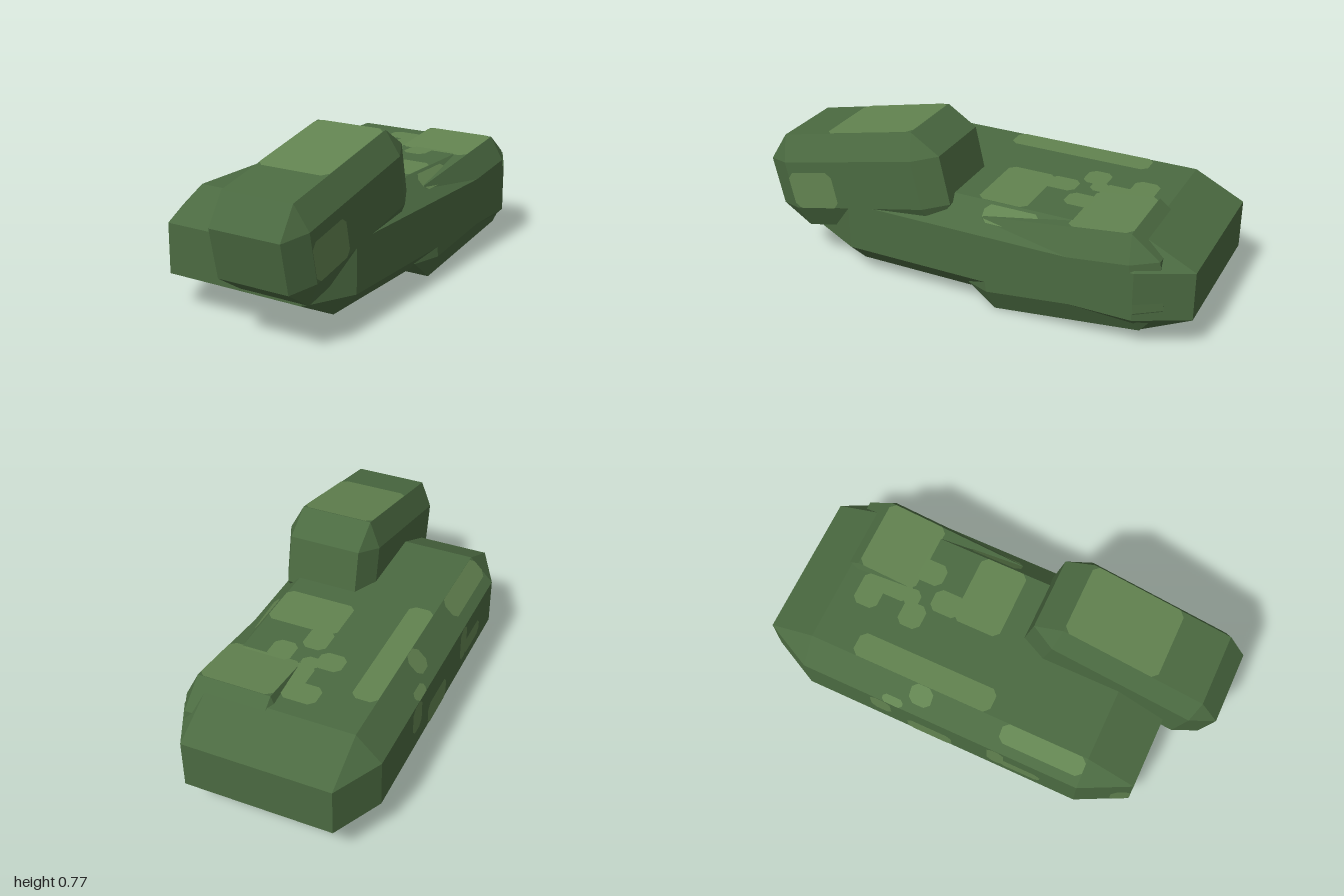
import * as THREE from 'three';
import { mergeGeometries } from 'three/addons/utils/BufferGeometryUtils.js';
import { ConvexGeometry } from 'three/addons/geometries/ConvexGeometry.js';

const baseGreen = new THREE.MeshStandardMaterial({ color: 0x4b6a41 });
baseGreen.name = 'base green';
const lightGreen = new THREE.MeshStandardMaterial({ color: 0x628350 });
lightGreen.name = 'light green';

// Box with chamfered edges: each face is inset by its own amount per axis
function chamferedBox(name, half, inset) {
  const points = [];
  for (const sx of [-1, 1]) for (const sy of [-1, 1]) for (const sz of [-1, 1]) {
    const s = [sx, sy, sz];
    for (let axis = 0; axis < 3; axis++) {
      const p = half.map((h, i) => s[i] * (i === axis ? h : h - inset[i]));
      points.push(new THREE.Vector3(...p));
    }
  }
  const mesh = new THREE.Mesh(new ConvexGeometry(points), baseGreen);
  mesh.name = name;
  return mesh;
}

// Patch outline with clipped corners
function patchShape([u0, v0, u1, v1]) {
  const r = Math.min(0.025, (u1 - u0) / 3, (v1 - v0) / 3);
  return new THREE.Shape([
    [u0 + r, v0], [u1 - r, v0], [u1, v0 + r], [u1, v1 - r],
    [u1 - r, v1], [u0 + r, v1], [u0, v1 - r], [u0, v0 + r],
  ].map(([x, y]) => new THREE.Vector2(x, y)));
}

// Camouflage patches on a flat face, given by its centre and two in-plane axes
function addPatches(parent, name, centre, u, v, rects) {
  const U = new THREE.Vector3(...u).normalize();
  const V = new THREE.Vector3(...v).normalize();
  const N = U.clone().cross(V);
  const geometry = mergeGeometries(rects.map((r) => new THREE.ShapeGeometry(patchShape(r))));
  geometry.applyMatrix4(new THREE.Matrix4().makeBasis(U, V, N)
    .setPosition(new THREE.Vector3(...centre).addScaledVector(N, 0.002)));
  const mesh = new THREE.Mesh(geometry, lightGreen);
  mesh.name = name;
  parent.add(mesh);
}

const X = [1, 0, 0], Y = [0, 1, 0], Z = [0, 0, 1], BACK = [0, 0, -1];

export function createModel() {
  const model = new THREE.Group();
  model.name = 'chamferedBlocks';

  // Long main body
  const body = chamferedBox('body', [0.447, 0.2235, 0.895], [0.112, 0.112, 0.224]);
  body.position.set(0, 0.275, -0.105);
  addPatches(body, 'bodyTopPatches', [0, 0.2235, 0], X, BACK, [
    [-0.11, 0.475, 0.05, 0.59], [-0.02, 0.36, 0.08, 0.5], [-0.12, 0.255, 0, 0.365],
    [-0.03, 0.31, 0.06, 0.38], [0, -0.085, 0.335, 0.14], [0, 0.12, 0.11, 0.26],
    [0.11, 0.255, 0.22, 0.38], [0.19, 0.36, 0.335, 0.43],
    [-0.335, -0.195, -0.22, 0.475],
  ]);
  addPatches(body, 'rightChamferPatches', [-0.391, 0.168, 0], Z, [1, 1, 0], [
    [-0.165, -0.025, -0.06, 0.079], [0.275, -0.025, 0.67, 0.079], [-0.28, -0.079, -0.18, -0.035],
  ]);
  addPatches(body, 'rightSidePatches', [-0.447, 0, 0], Z, Y, [
    [-0.34, -0.03, -0.24, 0.112], [-0.16, -0.112, 0.06, 0], [0.24, -0.06, 0.32, 0.112],
    [0.3, -0.06, 0.5, 0.02],
  ]);
  addPatches(body, 'leftChamferPatches', [0.391, 0.168, 0], BACK, [-1, 1, 0], [
    [-0.035, -0.02, 0.22, 0.065],
  ]);
  addPatches(body, 'frontCornerPatch', [-0.391, 0, 0.783], [0.112, 0, 0.224], Y, [
    [0.036, -0.112, 0.125, 0.01],
  ]);
  addPatches(body, 'undersidePatches', [0, -0.2235, 0], X, Z, [
    [-0.335, 0.19, 0.09, 0.3], [-0.335, 0.03, -0.14, 0.11], [-0.335, 0.56, -0.06, 0.67],
  ]);

  // Two half-size blocks, both tilted nose down
  const smallBlock = (name, y, z, tilt) => {
    const block = chamferedBox(name, [0.2235, 0.2235, 0.447], [0.056, 0.112, 0.112]);
    block.position.set(0.2235, y, z);
    block.rotation.x = tilt;
    return block;
  };

  const frontBlock = smallBlock('frontBlock', 0.48, 0.541, 0.217);
  addPatches(frontBlock, 'frontBlockTopPatch', [0, 0.2235, 0], X, BACK, [
    [-0.1675, -0.11, 0.1675, 0.335],
  ]);
  addPatches(frontBlock, 'frontBlockSidePatch', [0.2235, 0, 0], BACK, Y, [
    [-0.335, -0.112, -0.1, 0.06],
  ]);

  const rearBlock = smallBlock('rearBlock', 0.268, -0.435, 0.122);
  addPatches(rearBlock, 'rearBlockTopPatch', [0, 0.2235, 0], X, BACK, [
    [-0.1675, 0.05, 0.1675, 0.335],
  ]);

  model.add(body, frontBlock, rearBlock);
  return model;
}
